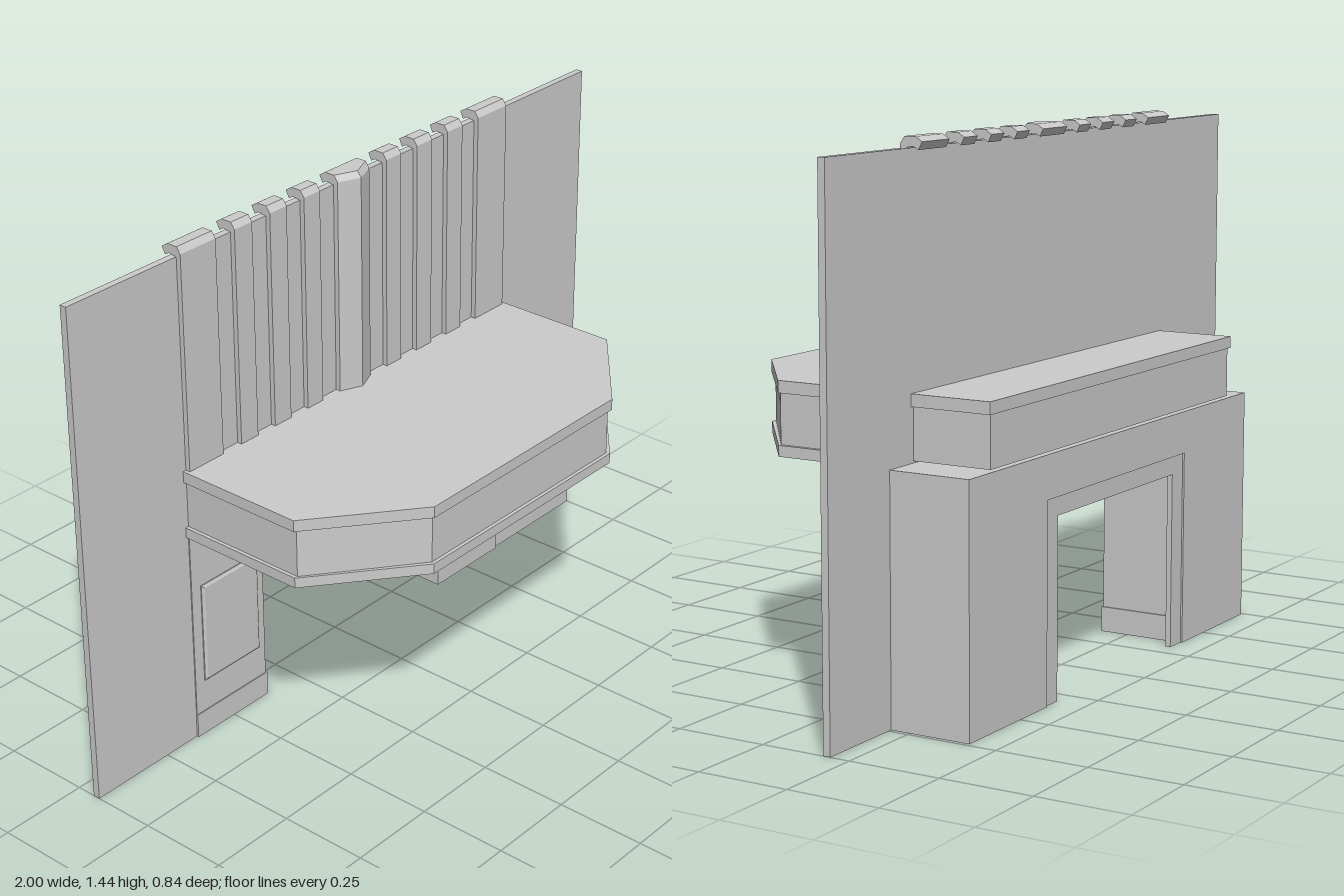
import * as THREE from 'three';

const mat = new THREE.MeshStandardMaterial({ color: 0xcccccc, flatShading: true });

function add(group, name, geometry) {
  const mesh = new THREE.Mesh(geometry, mat);
  mesh.name = name;
  group.add(mesh);
  return mesh;
}

const shapeOf = (pts) => new THREE.Shape(pts.map(([a, b]) => new THREE.Vector2(a, b)));

// box given by its min and max on each axis
function box(x0, x1, y0, y1, z0, z1) {
  return new THREE.BoxGeometry(x1 - x0, y1 - y0, z1 - z0)
    .translate((x0 + x1) / 2, (y0 + y1) / 2, (z0 + z1) / 2);
}

// upright slab with a doorway cut from its lower edge
function archSlab(w, h, openW, openH, z0, z1) {
  const s = shapeOf([[-w, 0], [-openW, 0], [-openW, openH], [openW, openH],
    [openW, 0], [w, 0], [w, h], [-w, h]]);
  return new THREE.ExtrudeGeometry(s, { depth: z1 - z0, bevelEnabled: false }).translate(0, 0, z0);
}

// flat counter layer with chamfered front corners
function counterLayer(inset, y0, y1, back) {
  const w = 0.645 - inset, f = 0.42 - inset, c = 0.37 - inset * 0.4;
  const s = shapeOf([[-w, -back], [-w, -0.2], [-c, -f], [c, -f], [w, -0.2], [w, -back]]);
  return new THREE.ExtrudeGeometry(s, { depth: y1 - y0, bevelEnabled: false })
    .rotateX(-Math.PI / 2).translate(0, y0, 0);
}

// vertical rib whose top hooks over the wall; peak pushes its centre line forward
function rib(x0, x1, peak = 0) {
  const s = shapeOf([[-0.18, 0.8], [-0.162, 0.8], [-0.162, 1.42], [-0.174, 1.437], [-0.205, 1.437],
    [-0.224, 1.425], [-0.214, 1.405], [-0.2, 1.413], [-0.18, 1.41]]);
  const w = x1 - x0;
  const g = new THREE.ExtrudeGeometry(s, { depth: w, steps: peak ? 2 : 1, bevelEnabled: false })
    .rotateY(-Math.PI / 2).translate(x1, 0, 0);
  const p = g.attributes.position;
  for (let i = 0; i < p.count; i++) {
    const mid = Math.abs(p.getX(i) - (x0 + x1) / 2) < 0.001;
    if (mid && p.getZ(i) > -0.178) p.setZ(i, p.getZ(i) + peak);
  }
  g.computeVertexNormals();
  return g;
}

export function createModel() {
  const model = new THREE.Group();
  model.name = 'counterWall';

  // wall and the deep base behind it
  add(model, 'wall', archSlab(1, 1.41, 0.37, 0.53, -0.196, -0.176));
  add(model, 'rearBase', archSlab(0.74, 0.645, 0.37, 0.53, -0.42, -0.19));
  add(model, 'openingFrame', archSlab(0.375, 0.535, 0.31, 0.48, -0.415, -0.4));

  // counter: two projecting slabs around a recessed body
  add(model, 'counterTop', counterLayer(0, 0.785, 0.817, -0.42));
  add(model, 'counterBody', counterLayer(0.01, 0.65, 0.786, -0.415));
  add(model, 'counterBottom', counterLayer(0, 0.623, 0.652, -0.19));

  // pedestal faces, skirting and raised panels on both sides of the opening
  for (const side of [-1, 1]) {
    const span = (a, b) => (side > 0 ? [a, b] : [-b, -a]);
    add(model, 'pedestalFace', box(...span(0.37, 0.637), 0, 0.63, -0.18, -0.173));
    add(model, 'skirting', box(...span(0.366, 0.638), 0, 0.07, -0.39, -0.17));
    const [x0, x1] = span(0.403, 0.597);
    const panel = shapeOf([[x0, 0.173], [x1, 0.173], [x1, 0.452], [x0, 0.452]]);
    add(model, 'raisedPanel', new THREE.ExtrudeGeometry(panel, {
      depth: 0.003, bevelThickness: 0.004, bevelSize: 0.008, bevelSegments: 1,
    }).translate(0, 0, -0.172));
  }

  // ribs above the counter, mirrored about a pointed centre rib
  const ribs = new THREE.Group();
  ribs.name = 'wallRibs';
  model.add(ribs);
  for (const [a, b] of [[0.13, 0.19], [0.255, 0.317], [0.382, 0.445], [0.512, 0.635]]) {
    add(ribs, 'rib', rib(a, b));
    add(ribs, 'rib', rib(-b, -a));
  }
  add(ribs, 'centreRib', rib(-0.062, 0.062, 0.026));

  // small studs along one chamfered face of the counter
  const a = new THREE.Vector3(0.366, 0.765, 0.41), b = new THREE.Vector3(0.635, 0.765, 0.2);
  const normal = new THREE.Vector3(a.z - b.z, 0, b.x - a.x).normalize();
  for (let i = 0; i < 5; i++) {
    const stud = add(model, 'stud', new THREE.CylinderGeometry(0.004, 0.004, 0.003, 8));
    stud.position.lerpVectors(a, b, 0.16 + i * 0.18);
    stud.quaternion.setFromUnitVectors(new THREE.Vector3(0, 1, 0), normal);
  }
  return model;
}
